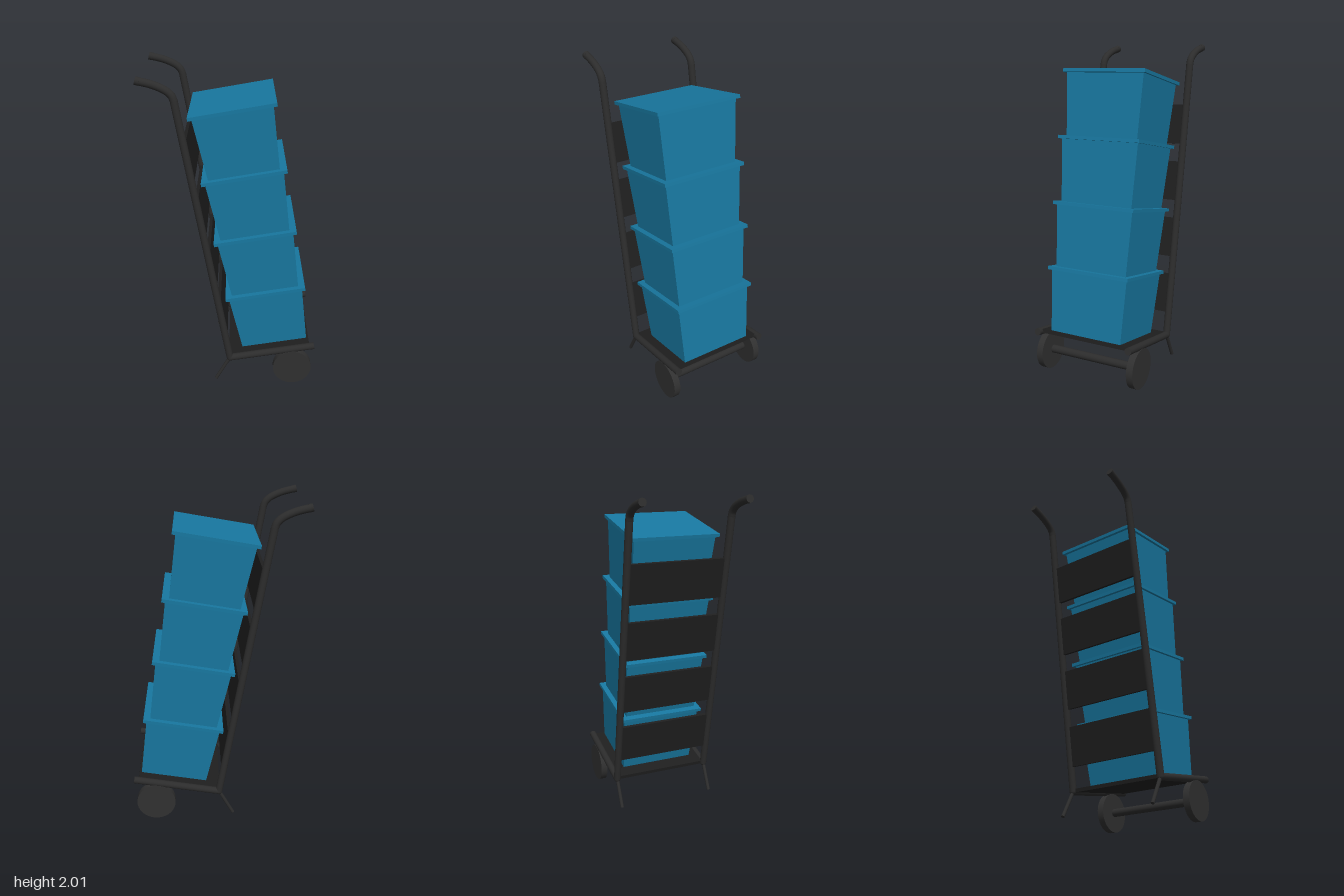
import * as THREE from 'three';

const steel = new THREE.MeshStandardMaterial({ color: 0x2c2c2c });
const panel = new THREE.MeshStandardMaterial({ color: 0x1f1f1f });
const rubber = new THREE.MeshStandardMaterial({ color: 0x303030 });
const blue = new THREE.MeshStandardMaterial({ color: 0x1878a0 });

const TUBE = 0.022; // frame tube radius
const HALF = 0.31; // half the distance between the side frames

// Frame coordinates: x runs along the platform, y up the uprights, z across.
function add(parent, name, geometry, material, x = 0, y = 0, z = 0) {
  const mesh = new THREE.Mesh(geometry, material);
  mesh.name = name;
  mesh.position.set(x, y, z);
  parent.add(mesh);
  return mesh;
}

// Round bar between two points
function rod(parent, name, a, b, radius) {
  const start = new THREE.Vector3(...a);
  const dir = new THREE.Vector3(...b).sub(start);
  const length = dir.length();
  const mesh = add(parent, name, new THREE.CylinderGeometry(radius, radius, length, 16), steel);
  mesh.position.copy(start).addScaledVector(dir, 0.5);
  mesh.quaternion.setFromUnitVectors(new THREE.Vector3(0, 1, 0), dir.normalize());
  return mesh;
}

// Tapered box body: the bottom vertices are pulled inwards
function taperedBody(height) {
  const geometry = new THREE.BoxGeometry(0.46, height, 0.51);
  const p = geometry.attributes.position;
  for (let i = 0; i < p.count; i++) {
    if (p.getY(i) < 0) p.setXYZ(i, p.getX(i) * 0.91, p.getY(i), p.getZ(i) * 0.93);
  }
  geometry.computeVertexNormals();
  return geometry;
}

function sideFrame(name, z) {
  const side = new THREE.Group();
  side.name = name;
  rod(side, 'upright', [0, 0, z], [0, 1.72, z], TUBE);
  rod(side, 'platformRail', [0, 0, z], [0.545, 0, z], TUBE);
  rod(side, 'restingLeg', [0, 0, z], [-0.117, -0.147, z], 0.011);
  add(side, 'cornerJoint', new THREE.SphereGeometry(TUBE, 16, 12), steel, 0, 0, z);

  // Curved grip leaning backwards, closed by a short end plug
  const curve = new THREE.CatmullRomCurve3(
    [[0, 1.715], [-0.006, 1.745], [-0.03, 1.778], [-0.094, 1.822], [-0.178, 1.859]]
      .map(([x, y]) => new THREE.Vector3(x, y, z)));
  add(side, 'handle', new THREE.TubeGeometry(curve, 24, TUBE, 16), steel);
  rod(side, 'handleEnd', [-0.16, 1.851, z], [-0.18, 1.86, z], TUBE + 0.001);

  // Wheel
  const wheel = add(side, 'wheel', new THREE.CylinderGeometry(0.122, 0.122, 0.042, 40), rubber, 0.383, -0.131, z);
  wheel.rotation.x = Math.PI / 2;
  return side;
}

export function createModel() {
  const model = new THREE.Group();
  model.name = 'handTruckWithBoxes';
  model.rotation.y = THREE.MathUtils.degToRad(-25);

  // Whole truck leans back on its legs
  const truck = new THREE.Group();
  truck.name = 'leaningTruck';
  truck.position.set(-0.02, 0.185, 0);
  truck.rotation.z = THREE.MathUtils.degToRad(10);
  model.add(truck);

  truck.add(sideFrame('leftFrame', -HALF), sideFrame('rightFrame', HALF));
  rod(truck, 'axle', [0.383, -0.131, -HALF], [0.383, -0.131, HALF], 0.025);
  add(truck, 'platform', new THREE.BoxGeometry(0.52, 0.022, HALF * 2), panel, 0.257, 0.005, 0);

  // Back slats
  for (let i = 0; i < 4; i++) {
    add(truck, 'backSlat', new THREE.BoxGeometry(0.02, 0.245, HALF * 2), panel, 0, 0.27 + i * 0.358, 0);
  }

  // Stack of lidded boxes
  const pitch = 0.396, lid = 0.02;
  for (let i = 0; i < 4; i++) {
    const box = new THREE.Group();
    box.name = 'storageBox';
    box.position.set(0.294, 0.016 + i * pitch, 0);
    add(box, 'body', taperedBody(pitch - lid), blue, 0, (pitch - lid) / 2, 0);
    add(box, 'lid', new THREE.BoxGeometry(0.502, lid, 0.542), blue, 0, pitch - lid / 2, 0);
    truck.add(box);
  }

  const root = new THREE.Group();
  root.name = 'loadedHandTruck';
  root.add(model);
  return root;
}
